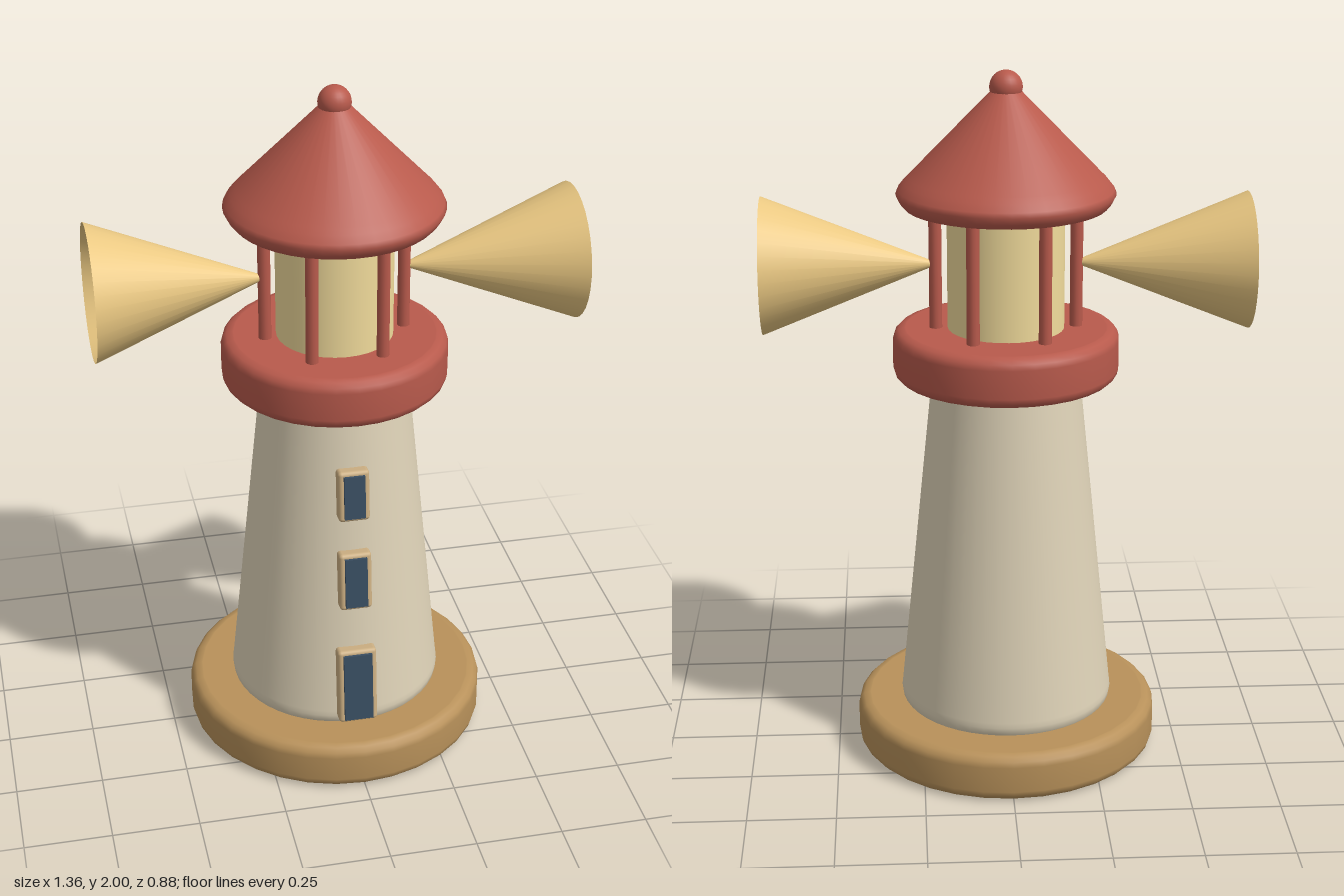
import * as THREE from 'three';
import { RoundedBoxGeometry } from 'three/addons/geometries/RoundedBoxGeometry.js';

const mat = (color, side = THREE.FrontSide) => new THREE.MeshStandardMaterial({ color, side });
const sand = mat(0xb8915a);
const cream = mat(0xdfd3b8);
const red = mat(0xb85a4c);
const glow = mat(0xf2dc9c);
const beamMat = mat(0xeac882, THREE.DoubleSide);
const trim = mat(0xcdb083);
const glass = mat(0x3a4f63);

export function createModel() {
  const root = new THREE.Group();

  const add = (name, geometry, material, x = 0, y = 0, z = 0) => {
    const mesh = new THREE.Mesh(geometry, material);
    mesh.name = name;
    mesh.position.set(x, y, z);
    root.add(mesh);
    return mesh;
  };
  const lathe = (points, sides = 32) =>
    new THREE.LatheGeometry(points.map(([r, y]) => new THREE.Vector2(r, y)), sides);

  // Solid disc with softened rims; the extra rim points keep the flats flat
  const disc = (radius, y0, y1, b) => {
    const points = [[0, y0], [radius - b - 0.004, y0]];
    for (let i = 0; i <= 3; i++) {
      const a = (i / 3) * Math.PI / 2;
      points.push([radius - b + b * Math.sin(a), y0 + b - b * Math.cos(a)]);
    }
    for (let i = 0; i <= 3; i++) {
      const a = (i / 3) * Math.PI / 2;
      points.push([radius - b + b * Math.cos(a), y1 - b + b * Math.sin(a)]);
    }
    points.push([radius - b - 0.004, y1], [0, y1]);
    return lathe(points);
  };

  // Base, tapering tower and gallery
  add('base', disc(0.44, 0, 0.14, 0.032), sand);
  add('tower', lathe([[0.295, 0.13], [0.307, 0.146], [0.31, 0.165], [0.308, 0.18], [0.21, 1.14]], 48), cream);
  add('gallery', disc(0.32, 1.13, 1.275, 0.032), red);

  // Lantern drum with six posts around it
  add('lamp', new THREE.CylinderGeometry(0.165, 0.165, 0.38, 32), glow, 0, 1.45, 0);
  for (let i = 0; i < 6; i++) {
    const a = (i * Math.PI) / 3;
    add('lanternPost', new THREE.CylinderGeometry(0.018, 0.018, 0.38, 12), red,
      0.198 * Math.cos(a), 1.45, 0.198 * Math.sin(a));
  }

  // Conical roof with a rolled eave and a ball on top
  add('roof', lathe([
    [0, 1.625], [0.278, 1.625], [0.284, 1.626], [0.296, 1.64], [0.306, 1.66],
    [0.3, 1.674], [0.284, 1.694], [0.27, 1.708], [0.04, 1.945], [0, 1.96],
  ], 40), red);
  add('roofBall', new THREE.SphereGeometry(0.046, 24, 16), red, 0, 1.954, 0);

  // Two open light cones
  for (const s of [1, -1]) {
    const beam = add('lightBeam',
      new THREE.CylinderGeometry(0.006, 0.193, 0.48, 32, 1, true), beamMat, s * 0.44, 1.46, 0);
    beam.rotation.z = s * Math.PI / 2;
  }

  // Door and windows lie along the slope of the front wall
  const slope = Math.atan(0.098 / 0.96);
  const opening = (name, y, w, h) => {
    const group = new THREE.Group();
    group.name = name;
    group.position.set(0, y, 0.308 - (y - 0.18) * Math.tan(slope));
    group.rotation.x = -slope;
    const frame = new THREE.Mesh(new RoundedBoxGeometry(w, h, 0.05, 2, 0.011), trim);
    frame.name = name + 'Frame';
    frame.position.z = 0.006;
    const pane = new THREE.Mesh(new THREE.BoxGeometry(w - 0.03, h - 0.025, 0.03), glass);
    pane.name = name + 'Pane';
    pane.position.z = 0.025;
    group.add(frame, pane);
    root.add(group);
  };
  opening('door', 0.278, 0.114, 0.236);
  opening('lowerWindow', 0.617, 0.094, 0.178);
  opening('upperWindow', 0.884, 0.09, 0.154);

  return root;
}
